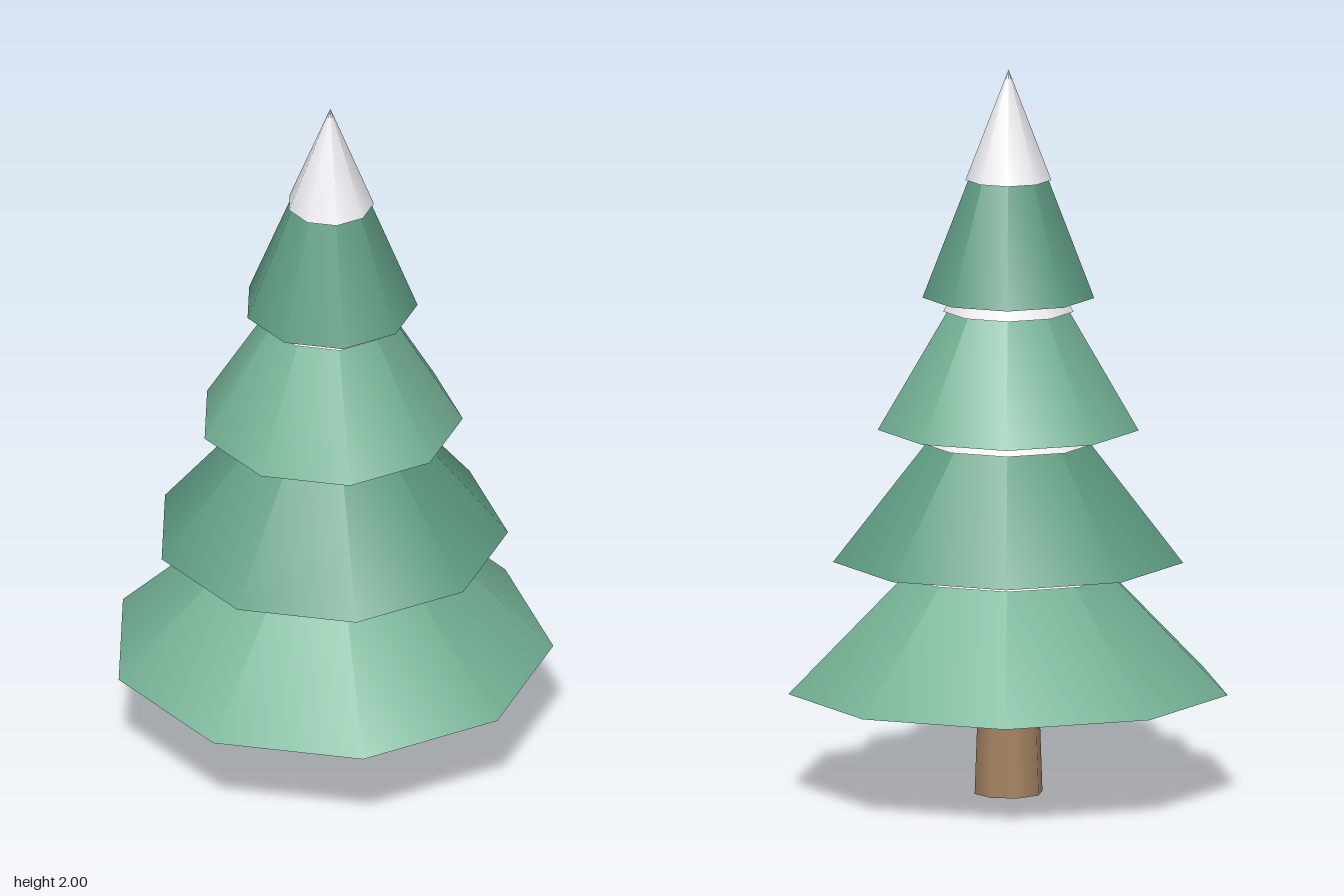
import * as THREE from 'three';

const SIDES = 9;
const TIERS = 4;
const STEP = 0.362; // vertical spacing of the tiers

export function createModel() {
  const model = new THREE.Group();
  model.name = 'snowyFirTree';

  const material = (color) => new THREE.MeshStandardMaterial({ color });
  const greens = [material(0x74b195), material(0x5f9c82)];
  const snow = material(0xeeeef2);
  const bark = material(0xa58463);

  // Adds a part standing on height y; the odd-sided outline sits slightly back
  const add = (name, geometry, mat, y) => {
    const mesh = new THREE.Mesh(geometry, mat);
    mesh.name = name;
    mesh.position.set(0, y + geometry.parameters.height / 2, -0.018);
    model.add(mesh);
  };

  // Tapered trunk, tucked into the lowest tier
  add('trunk', new THREE.CylinderGeometry(0.082, 0.095, 0.36, 8), bark, 0);

  // Foliage cones in alternating greens, each tipped with a snow cone
  for (let i = 0; i < TIERS; i++) {
    const radius = 0.606 - i * 0.123;
    const base = 0.29 + i * STEP;
    add(`foliageTier${i + 1}`, new THREE.ConeGeometry(radius, 0.604, SIDES), greens[i % 2], base);
    add(`snowCap${i + 1}`, new THREE.ConeGeometry(radius / 2, 0.302, SIDES), snow, base + 0.322);
  }

  return model;
}
